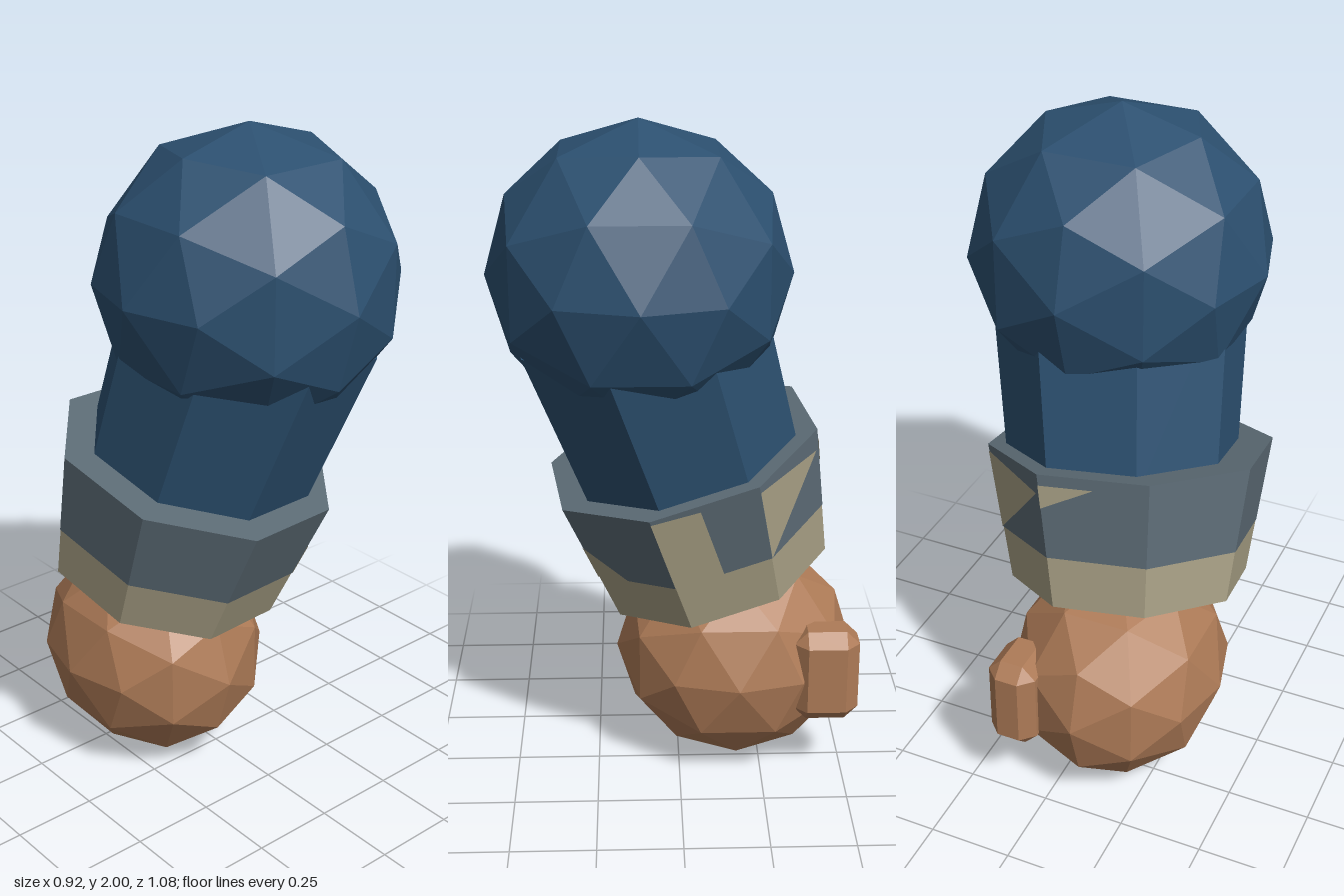
import * as THREE from 'three';
import { ConvexGeometry } from 'three/addons/geometries/ConvexGeometry.js';

const V = (x, y, z) => new THREE.Vector3(x, y, z);
const UP = V(0, 1, 0);
const START = Math.PI / 6; // angle of the first corner of the eight-sided parts

const paint = (color) => new THREE.MeshStandardMaterial({ color, flatShading: true });

function named(name, geometry, material) {
  const mesh = new THREE.Mesh(geometry, material);
  mesh.name = name;
  return mesh;
}

// Faceted ball stretched to the given radii
function ball(name, center, radii, material) {
  const mesh = named(name, new THREE.IcosahedronGeometry(1, 1).scale(...radii), material);
  mesh.position.copy(center);
  return mesh;
}

// Eight-sided tapered section running from a lower to an upper point
function section(name, low, high, rLow, rHigh, material) {
  const axis = high.clone().sub(low);
  const geometry = new THREE.CylinderGeometry(rHigh, rLow, axis.length(), 8, 1, false, START);
  const mesh = named(name, geometry, material);
  mesh.position.copy(low).add(high).multiplyScalar(0.5);
  mesh.quaternion.setFromUnitVectors(UP, axis.normalize());
  return mesh;
}

// Flat patch on one side of a tapered section; u runs across the side, v up it
function patch(side, outline, rLow, rHigh, height, material) {
  const points = outline.map(([u, v]) => {
    const r = (rLow + (rHigh - rLow) * v) * 1.008;
    const corner = (k) => {
      const a = START + (k * Math.PI) / 4;
      return V(r * Math.sin(a), (v - 0.5) * height, r * Math.cos(a));
    };
    return corner(side).lerp(corner(side + 1), u);
  });
  const triangles = [];
  for (let i = 1; i < points.length - 1; i++) triangles.push(points[0], points[i], points[i + 1]);
  const geometry = new THREE.BufferGeometry().setFromPoints(triangles);
  geometry.computeVertexNormals();
  return named('cuffPatch', geometry, material);
}

// Box with every edge cut off
function chamferedBox(hx, hy, hz, c) {
  const points = [];
  for (const x of [-1, 1]) for (const y of [-1, 1]) for (const z of [-1, 1]) {
    points.push(V(x * hx, y * (hy - c), z * (hz - c)));
    points.push(V(x * (hx - c), y * hy, z * (hz - c)));
    points.push(V(x * (hx - c), y * (hy - c), z * hz));
  }
  return new ConvexGeometry(points);
}

export function createModel() {
  const group = new THREE.Group();
  const blue = paint(0x2c5070);
  const grey = paint(0x5c6b75);
  const beige = paint(0xa8a085);
  const beigePatch = paint(0xa8a085);
  beigePatch.side = THREE.DoubleSide;
  const skin = paint(0xae7b57);

  // Shoulder and sleeve
  group.add(ball('shoulder', V(0.022, 1.57, 0.11), [0.432, 0.43, 0.432], blue));
  group.add(section('sleeve', V(-0.052, 0.95, -0.04), V(0.03, 1.5, 0.13), 0.335, 0.372, blue));

  // Cuff: beige lining with a grey band around its upper part
  const low = V(-0.107, 0.627, -0.113);
  const high = V(-0.064, 1.02, -0.008);
  const rLow = 0.35, rHigh = 0.415;
  const at = (t) => low.clone().lerp(high, t);
  const radius = (t) => rLow + (rHigh - rLow) * t;
  const lining = section('cuffLining', low, at(0.98), rLow, radius(0.98), beige);
  const band = section('cuffBand', at(0.38), high, radius(0.38) * 1.004, rHigh * 1.004, grey);
  group.add(lining, band);

  // Beige patches showing through the band
  const patches = new THREE.Group();
  patches.name = 'cuffPatches';
  patches.position.copy(at(0.5));
  patches.quaternion.copy(band.quaternion);
  const outlines = [
    [0, [[0, 0.38], [0.4, 0.38], [0, 0.65]]],
    [1, [[0, 0.38], [0.5, 0.38], [0.45, 0.95], [0, 0.97]]],
    [2, [[0, 0.38], [0.95, 0.85], [0, 0.95]]],
    [3, [[0, 0.75], [0.5, 0.92], [0, 0.92]]],
  ];
  for (const [side, outline] of outlines) {
    patches.add(patch(side, outline, rLow, rHigh, low.distanceTo(high), beigePatch));
  }
  group.add(patches);

  // Hand and thumb
  group.add(ball('hand', V(-0.107, 0.342, -0.176), [0.322, 0.342, 0.366], skin));
  const thumb = named('thumb', chamferedBox(0.075, 0.146, 0.098, 0.04), skin);
  thumb.position.set(0.098, 0.352, -0.44);
  group.add(thumb);

  return group;
}
